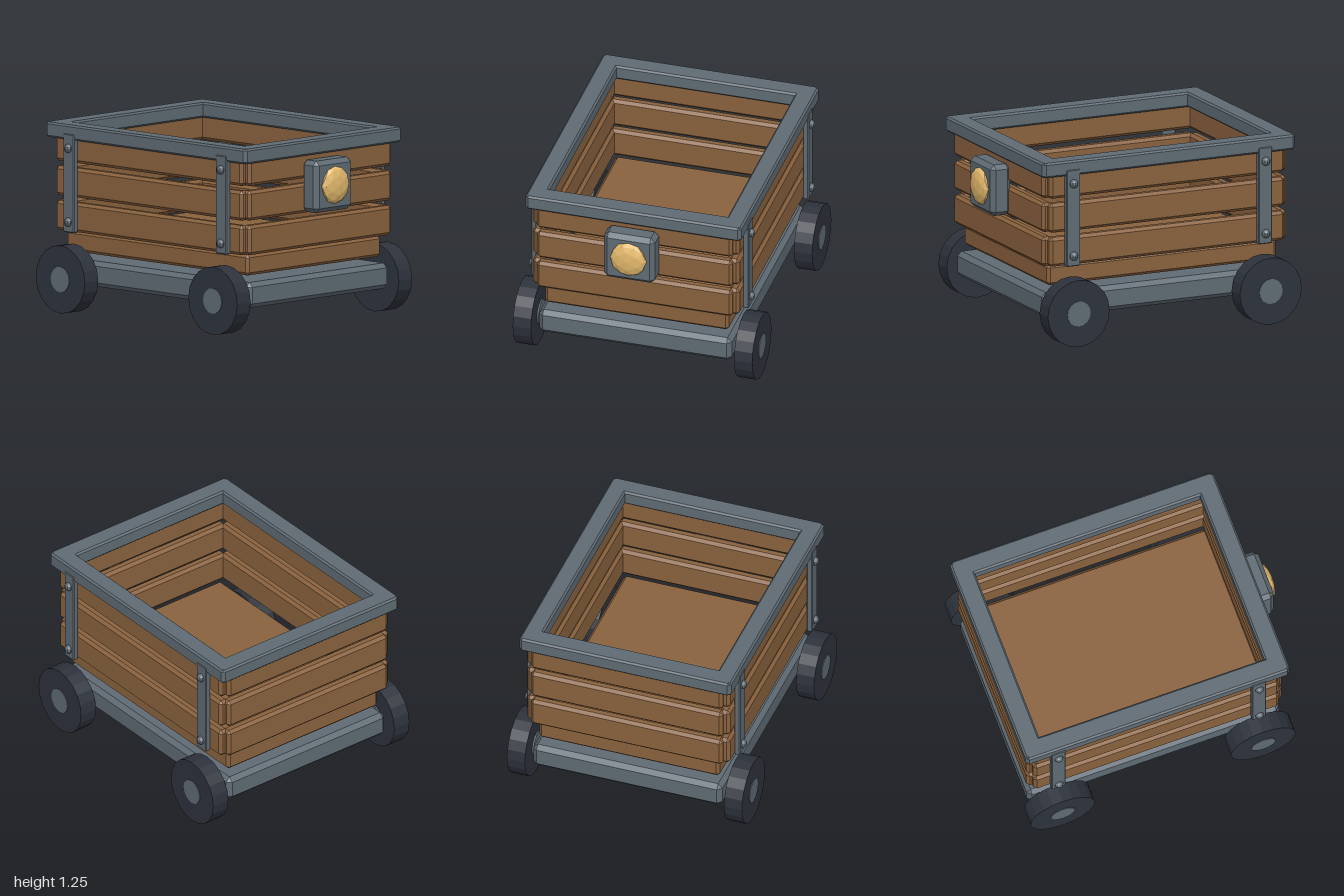
import * as THREE from 'three';
import { ConvexGeometry } from 'three/addons/geometries/ConvexGeometry.js';

const paint = (color) => new THREE.MeshStandardMaterial({ color, flatShading: true });
const wood = paint(0x8a623e);
const steel = paint(0x5f6b74);
const rubber = paint(0x2d323c);
const glass = paint(0xe3b96c);

const MID = -0.07; // z of the wagon body's middle

// Box with chamfered edges, given by its min and max corners
function chamferBox(min, max, c) {
  const half = min.map((v, i) => (max[i] - v) / 2);
  const points = [];
  for (const sx of [-1, 1]) for (const sy of [-1, 1]) for (const sz of [-1, 1]) {
    for (let full = 0; full < 3; full++) {
      const p = [sx, sy, sz].map((s, i) =>
        (min[i] + max[i]) / 2 + s * (half[i] - (i === full ? 0 : c)));
      points.push(new THREE.Vector3(...p));
    }
  }
  return new ConvexGeometry(points);
}

export function createModel() {
  const model = new THREE.Group();

  function add(name, geometry, material, position = [0, 0, 0]) {
    const mesh = new THREE.Mesh(geometry, material);
    mesh.name = name;
    mesh.position.set(...position);
    model.add(mesh);
    return mesh;
  }
  const block = (name, min, max, c, material) => add(name, chamferBox(min, max, c), material);

  // Chassis and floor
  block('chassis', [-0.66, 0.175, MID - 0.885], [0.66, 0.345, MID + 0.885], 0.03, steel);
  block('floor', [-0.63, 0.385, MID - 0.838], [0.63, 0.525, MID + 0.838], 0.02, wood);

  // Three courses of wall planks
  for (const y of [0.53, 0.76, 0.99]) {
    const top = y + 0.197;
    for (const s of [-1, 1]) {
      const x = s * 0.672, z = MID + s * 0.857;
      block('sidePlank', [x - 0.037, y, MID - 0.86], [x + 0.037, top, MID + 0.86], 0.02, wood);
      block('endPlank', [-0.67, y, z - 0.038], [0.67, top, z + 0.038], 0.02, wood);
    }
  }

  // Rim around the top edge
  for (const s of [-1, 1]) {
    const x = s * 0.675, z = MID + s * 0.857;
    block('sideRim', [x - 0.065, 1.145, MID - 0.915], [x + 0.065, 1.245, MID + 0.915], 0.012, steel);
    block('endRim', [-0.73, 1.145, z - 0.068], [0.73, 1.245, z + 0.068], 0.012, steel);
  }

  // Straps with rivets, and the wheels below them
  const wheelShape = new THREE.CylinderGeometry(0.226, 0.226, 0.125, 20).rotateZ(Math.PI / 2);
  const hubShape = new THREE.CylinderGeometry(0.085, 0.085, 0.14, 16).rotateZ(Math.PI / 2);
  const rivetShape = new THREE.SphereGeometry(0.03, 10, 8);
  for (const s of [-1, 1]) {
    for (const z of [0.635, -0.77]) {
      const x = s * 0.725;
      block('strap', [x - 0.02, 0.53, z - 0.05], [x + 0.02, 1.185, z + 0.05], 0.006, steel);
      for (const y of [0.6, 1.09]) add('rivet', rivetShape, steel, [s * 0.745, y, z]);
      add('wheel', wheelShape, rubber, [s * 0.758, 0.226, z]);
      add('hub', hubShape, steel, [s * 0.755, 0.226, z]);
    }
  }

  // Front lamp
  block('lampHousing', [-0.175, 0.77, 0.81], [0.175, 1.115, 0.955], 0.03, steel);
  const lens = add('lampLens', new THREE.IcosahedronGeometry(0.125, 1), glass, [0, 0.945, 0.957]);
  lens.scale.z = 0.35;

  return model;
}
